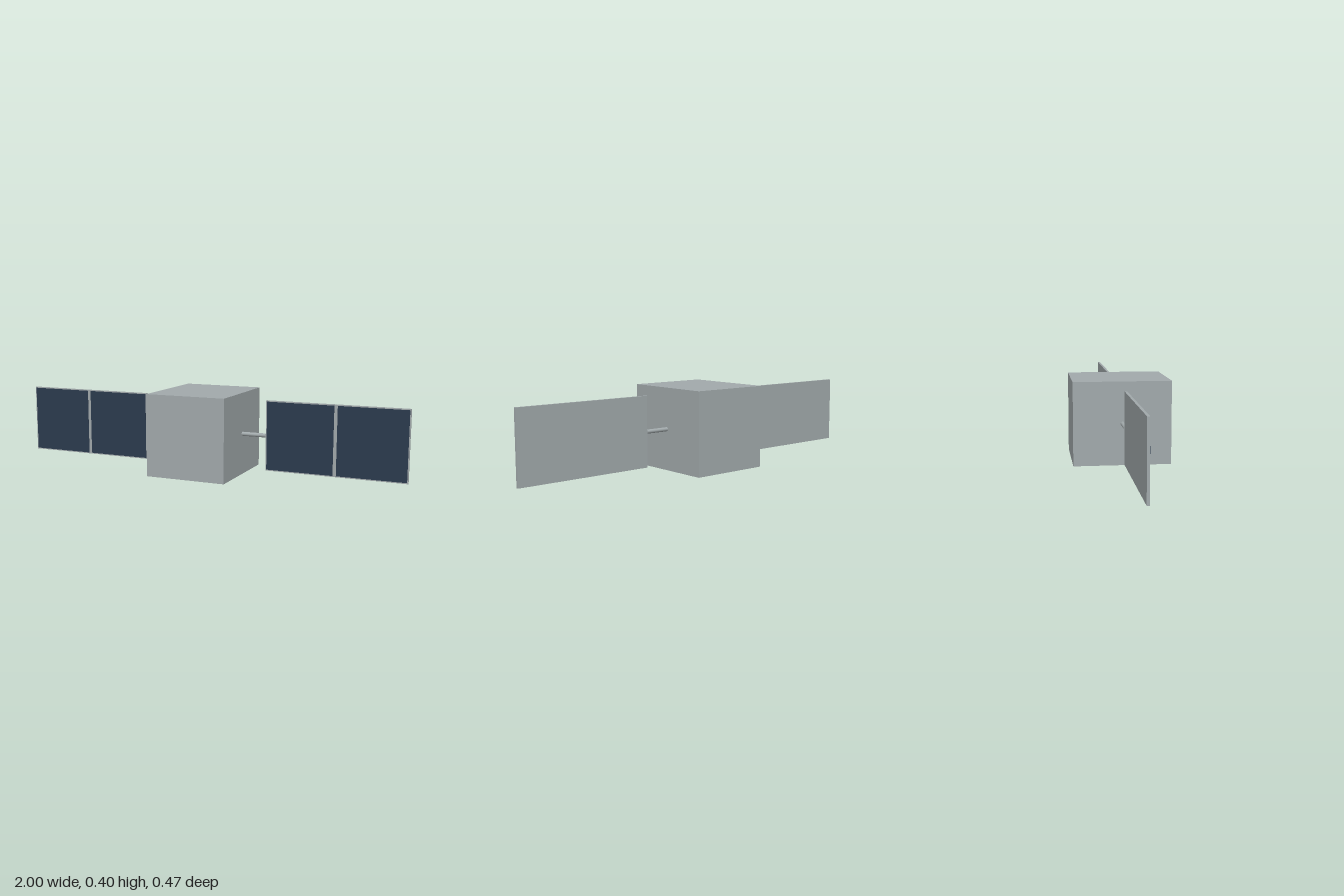
import * as THREE from 'three';

export function createModel() {
  const model = new THREE.Group();
  model.name = 'satellite';
  const metal = new THREE.MeshStandardMaterial({ color: 0xa2aaac });
  metal.name = 'grey metal';
  const navy = new THREE.MeshStandardMaterial({ color: 0x2c3b4e });
  navy.name = 'navy solar cell';

  const midY = 0.2;
  const add = (parent, name, geometry, material, x, y, z) => {
    const mesh = new THREE.Mesh(geometry, material);
    mesh.name = name;
    mesh.position.set(x, y, z);
    parent.add(mesh);
    return mesh;
  };

  // Central body
  add(model, 'body', new THREE.BoxGeometry(0.4, 0.4, 0.467), metal, 0, midY, 0);

  // One wing on each side: boom, backing panel and two solar cells
  const inner = 0.322, outer = 1, height = 0.34, thickness = 0.012;
  const border = 0.005, divider = 0.016, cellDepth = 0.001;
  const centre = (inner + outer) / 2;
  const cellWidth = (outer - inner - 2 * border - divider) / 2;
  for (const side of [1, -1]) {
    const wing = new THREE.Group();
    wing.name = side > 0 ? 'leftWing' : 'rightWing';
    model.add(wing);

    const boom = add(wing, 'boom', new THREE.CylinderGeometry(0.01, 0.01, inner - 0.19, 16),
      metal, side * (inner + 0.19) / 2, midY, 0);
    boom.rotation.z = Math.PI / 2;

    add(wing, 'panel', new THREE.BoxGeometry(outer - inner, height, thickness),
      metal, side * centre, midY, 0);

    for (const half of [-1, 1]) {
      add(wing, 'solarCell', new THREE.BoxGeometry(cellWidth, height - 2 * border, cellDepth), navy,
        side * centre + half * (cellWidth + divider) / 2, midY, thickness / 2 + cellDepth / 2);
    }
  }
  return model;
}
